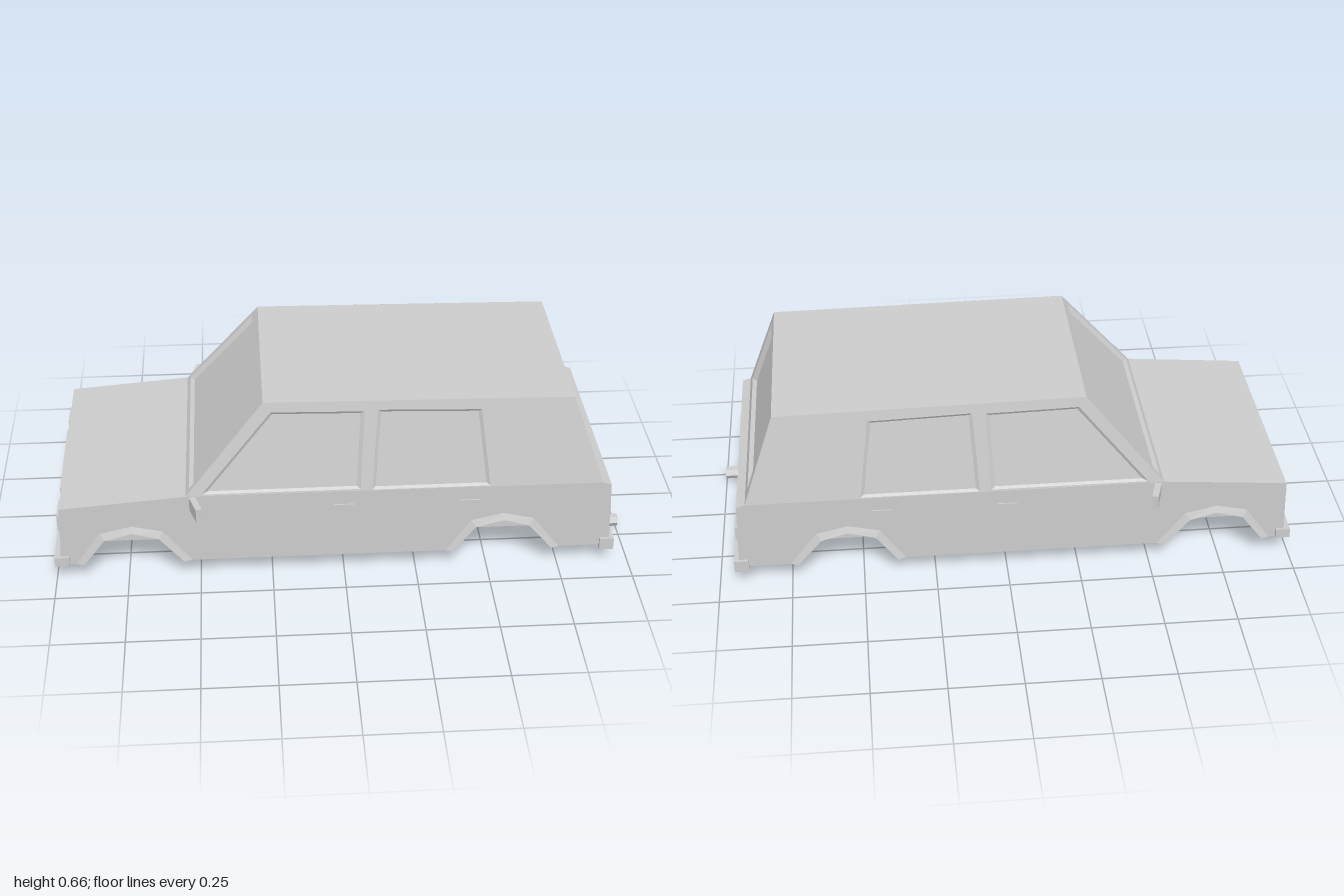
import * as THREE from 'three';

const material = new THREE.MeshStandardMaterial({ color: 0xcccccc, flatShading: true, side: THREE.DoubleSide });
const V = (x, y, z) => new THREE.Vector3(x, y, z);

function add(parent, name, geometry, x = 0, y = 0, z = 0) {
  const mesh = new THREE.Mesh(geometry, material);
  mesh.name = name;
  mesh.position.set(x, y, z);
  parent.add(mesh);
  return mesh;
}
const box = (parent, name, w, h, d, x, y, z) => add(parent, name, new THREE.BoxGeometry(w, h, d), x, y, z);

// Flat four-cornered faces, corners counter-clockwise from outside
function quads(list) {
  const points = list.flatMap(([a, b, c, d]) => [a, b, c, a, c, d]);
  const geometry = new THREE.BufferGeometry().setFromPoints(points);
  geometry.computeVertexNormals();
  return geometry;
}

// Panel with a bevelled, recessed window pane
function framedPanel(outer, hole, depth, bevel) {
  const normal = outer[1].clone().sub(outer[0]).cross(outer[3].clone().sub(outer[0])).normalize();
  const centre = hole.reduce((sum, p) => sum.add(p), V(0, 0, 0)).divideScalar(4);
  const pane = hole.map(p => p.clone().lerp(centre, bevel).addScaledVector(normal, -depth));
  const faces = [pane];
  for (let i = 0; i < 4; i++) {
    const j = (i + 1) % 4;
    faces.push([outer[i], outer[j], hole[j], hole[i]], [hole[i], hole[j], pane[j], pane[i]]);
  }
  return quads(faces);
}

// Wheel arch outline, relative to the arch centre on the floor line
const FLOOR = 0.07;
const ARCH = [[-0.17, 0], [-0.095, 0.1], [0, 0.126], [0.092, 0.1], [0.175, 0]];
const ARCH_X = [-0.73, 0.55];

function bodySlab(withArches, z, depth) {
  const outline = [[-0.98, FLOOR]];
  if (withArches) for (const cx of ARCH_X) for (const [dx, dy] of ARCH) outline.push([cx + dx, FLOOR + dy]);
  outline.push([0.93, FLOOR], [0.92, 0.322], [0.89, 0.332], [-0.54, 0.335], [-0.97, 0.3]);
  const shape = new THREE.Shape(outline.map(([x, y]) => new THREE.Vector2(x, y)));
  return new THREE.ExtrudeGeometry(shape, { depth, bevelEnabled: false }).translate(0, 0, z);
}

function flare(cx, side) {
  const faces = [];
  const inner = ARCH.map(([dx, dy]) => [cx + dx, FLOOR + dy]);
  const outer = ARCH.map(([dx, dy]) => [cx + dx * 1.16, FLOOR + (dy ? dy + 0.024 : 0)]);
  const at = ([x, y], z) => V(x, y, z * side);
  for (let i = 0; i < ARCH.length - 1; i++) {
    const face = [at(inner[i], 0.41), at(inner[i + 1], 0.41), at(outer[i + 1], 0.4), at(outer[i], 0.4)];
    const lip = [at(inner[i], 0.4), at(inner[i + 1], 0.4), at(inner[i + 1], 0.41), at(inner[i], 0.41)];
    faces.push(...[face, lip].map(f => side > 0 ? f : f.reverse()));
  }
  return quads(faces);
}

function buildCabin(parent) {
  const cabin = new THREE.Group();
  cabin.name = 'cabin';
  parent.add(cabin);
  const sideZ = y => 0.4 - 0.06 * (y - 0.33) / 0.33;
  // Side panels, front and rear door windows
  const panels = [
    ['frontDoorWindow',
      [[-0.54, 0.335], [0.085, 0.332], [0.092, 0.655], [-0.27, 0.66]],
      [[-0.485, 0.34], [0.055, 0.34], [0.07, 0.618], [-0.245, 0.625]]],
    ['rearDoorWindow',
      [[0.085, 0.332], [0.89, 0.332], [0.78, 0.645], [0.092, 0.655]],
      [[0.095, 0.336], [0.5, 0.336], [0.465, 0.612], [0.115, 0.622]]],
  ];
  for (const side of [1, -1]) {
    for (const [name, outer, hole] of panels) {
      const place = ring => {
        const points = ring.map(([x, y]) => V(x, y, side * sideZ(y)));
        return side > 0 ? points : points.reverse();
      };
      add(cabin, name, framedPanel(place(outer), place(hole), 0.008, 0.06));
    }
  }
  // Windscreen and tailgate window
  const end = (name, lowX, lowY, highX, highY, dir, hole, depth) => {
    const place = ([y, z]) => V(lowX + (highX - lowX) * (y - lowY) / (highY - lowY), y, z);
    const ring = (y0, z0, y1, z1) => [[y0, -z0 * dir], [y0, z0 * dir], [y1, z1 * dir], [y1, -z1 * dir]].map(place);
    add(cabin, name, framedPanel(ring(lowY, sideZ(lowY), highY, sideZ(highY)), ring(...hole), depth, 0.05));
  };
  end('windscreen', -0.54, 0.335, -0.27, 0.66, 1, [0.35, 0.375, 0.635, 0.32], 0.012);
  end('tailgateWindow', 0.89, 0.332, 0.78, 0.645, -1, [0.363, 0.345, 0.62, 0.307], 0.015);
  // Roof
  const f = sideZ(0.66), r = sideZ(0.645);
  add(cabin, 'roof', quads([[V(-0.27, 0.66, f), V(0.78, 0.645, r), V(0.78, 0.645, -r), V(-0.27, 0.66, -f)]]));
}

function buildExhaust(parent) {
  const exhaust = new THREE.Group();
  exhaust.name = 'exhaust';
  exhaust.position.set(0, 0.038, 0.21);
  parent.add(exhaust);
  const hex = (name, radius, x0, x1, squash = 1) => {
    const geometry = new THREE.CylinderGeometry(radius, radius, x1 - x0, 6).rotateZ(Math.PI / 2).scale(1, squash, 1);
    add(exhaust, name, geometry, (x0 + x1) / 2, 0, 0);
  };
  hex('muffler', 0.045, 0.77, 0.9, 0.95);
  hex('tailPipe', 0.022, 0.9, 1);
  const bend = new THREE.CatmullRomCurve3([V(0.72, 0.045, 0), V(0.74, 0.015, 0), V(0.78, 0, 0)]);
  add(exhaust, 'downPipe', new THREE.TubeGeometry(bend, 4, 0.016, 6));
}

export function createModel() {
  const car = new THREE.Group();
  car.name = 'car';

  // Lower body: solid centre, outer slabs cut by wheel arches
  add(car, 'bodyCentre', bodySlab(false, -0.27, 0.54));
  add(car, 'bodyLeft', bodySlab(true, 0.27, 0.13));
  add(car, 'bodyRight', bodySlab(true, -0.4, 0.13));
  buildCabin(car);

  // Bumpers with short wrapped ends
  box(car, 'frontBumper', 0.025, 0.035, 0.82, -0.9875, 0.0875, 0);
  box(car, 'rearBumper', 0.025, 0.045, 0.82, 0.9325, 0.0775, 0);

  // Grille frame and slats
  const grille = new THREE.Group();
  grille.name = 'grille';
  grille.position.set(-0.977, 0.195, 0);
  car.add(grille);
  for (const s of [1, -1]) {
    box(grille, 'grilleRail', 0.014, 0.008, 0.38, 0, s * 0.051, 0);
    box(grille, 'grillePost', 0.014, 0.11, 0.008, 0, 0, s * 0.19);
  }
  for (let i = -2; i <= 2; i++) {
    box(grille, 'grilleSlat', 0.008, 0.01, 0.37, 0, i * 0.018, 0).rotation.z = 0.4;
  }

  for (const s of [1, -1]) {
    box(car, 'frontBumperEnd', 0.04, 0.035, 0.015, -0.97, 0.0875, s * 0.4025);
    box(car, 'rearBumperEnd', 0.04, 0.045, 0.015, 0.915, 0.0775, s * 0.4025);
    box(car, 'headlight', 0.016, 0.06, 0.1, -0.977, 0.215, s * 0.31);
    box(car, 'tailLight', 0.014, 0.047, 0.097, 0.929, 0.182, s * 0.31);
    for (const cx of ARCH_X) add(car, 'wheelArchFlare', flare(cx, s));
    for (const x of [0, 0.43]) box(car, 'doorHandle', 0.07, 0.01, 0.008, x, 0.277, s * 0.401);

    // Door mirror, swept back towards its tip
    const mirror = new THREE.Group();
    mirror.name = 'doorMirror';
    mirror.position.set(-0.506, 0.315, s * 0.45);
    mirror.rotation.y = s * 0.3;
    car.add(mirror);
    box(mirror, 'mirrorHousing', 0.022, 0.05, 0.08, 0, 0, 0);
    box(mirror, 'mirrorStalk', 0.014, 0.02, 0.03, 0, 0, -s * 0.045);
  }

  buildExhaust(car);
  return car;
}
